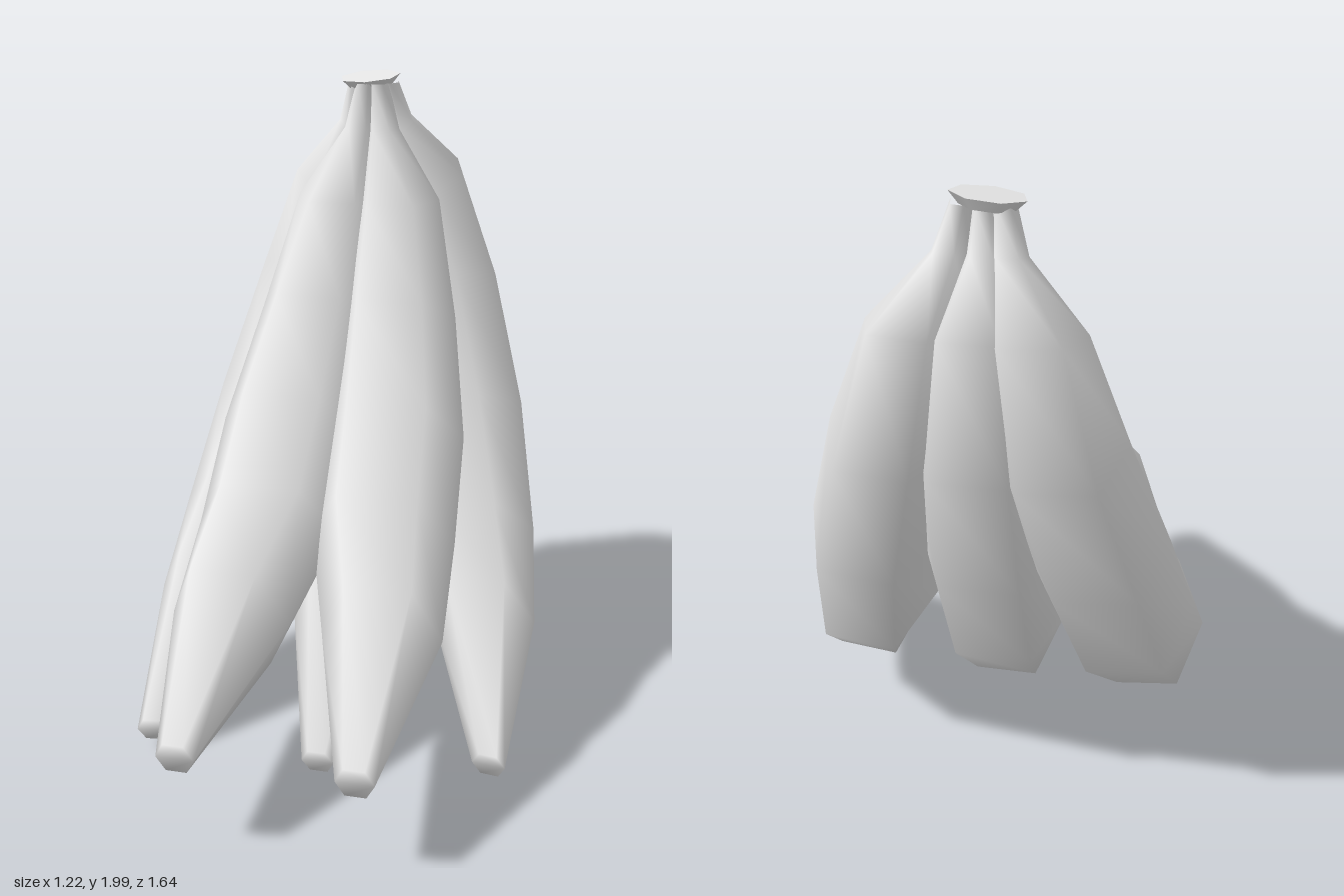
import * as THREE from 'three';

// Side profiles from stem to tip: [front z, front y, back z, back y, half width]
const BACK_PROFILE = [
  [-0.53, 1.97, -0.61, 1.97, 0.03],
  [-0.55, 1.83, -0.65, 1.86, 0.05],
  [-0.51, 1.64, -0.79, 1.70, 0.14],
  [-0.45, 1.40, -0.81, 1.32, 0.185],
  [-0.30, 1.05, -0.675, 0.90, 0.205],
  [-0.13, 0.76, -0.44, 0.48, 0.205],
  [0.03, 0.54, -0.165, 0.20, 0.172],
  [0.36, 0.09, 0.33, 0.005, 0.05],
];
const FRONT_PROFILE = [
  [-0.50, 1.97, -0.57, 1.97, 0.03],
  [-0.49, 1.83, -0.58, 1.83, 0.05],
  [-0.37, 1.62, -0.62, 1.62, 0.135],
  [-0.20, 1.36, -0.49, 1.20, 0.185],
  [0.00, 1.10, -0.25, 0.83, 0.22],
  [0.20, 0.88, 0.00, 0.54, 0.22],
  [0.42, 0.70, 0.28, 0.335, 0.18],
  [0.82, 0.37, 0.80, 0.275, 0.055],
];

// Six-sided cross-section: u across, v from back to front
const SECTION = [[1, 0], [0.55, 1], [-0.55, 1], [-1, 0], [-0.55, -1], [0.55, -1]];
const SIDES = SECTION.length;

// Loft the section along a profile; xs = centre x of each ring, yaw turns the
// section about y, lift raises the tip
function bananaGeometry(profile, xs, yaw = 0, lift = 0) {
  const pos = [], index = [];
  const c = Math.cos(yaw), s = Math.sin(yaw);
  const last = profile.length - 1;
  profile.forEach(([fz, fy, bz, by, w], i) => {
    const up = i === last ? lift : i === last - 1 ? lift * 0.4 : 0;
    for (const [u, v] of SECTION) {
      const ox = u * w, oz = v * (fz - bz) / 2;
      pos.push(
        xs[i] + ox * c + oz * s,
        (fy + by) / 2 + v * (fy - by) / 2 + up,
        (fz + bz) / 2 + oz * c - ox * s,
      );
    }
  });
  for (let i = 0; i < last; i++) {
    for (let k = 0; k < SIDES; k++) {
      const a = i * SIDES + k, b = i * SIDES + (k + 1) % SIDES;
      index.push(a, b, a + SIDES, b, b + SIDES, a + SIDES);
    }
  }
  // Blunt, softly shaded tip
  const tip = last * SIDES;
  for (let k = 1; k < SIDES - 1; k++) index.push(tip, tip + k, tip + k + 1);

  const geo = new THREE.BufferGeometry();
  geo.setAttribute('position', new THREE.Float32BufferAttribute(pos, 3));
  geo.setIndex(index);
  geo.computeVertexNormals();
  return geo;
}

export function createModel() {
  const group = new THREE.Group();
  group.name = 'bananaBunch';
  const peel = new THREE.MeshStandardMaterial({ color: 0xe7e7e7 });
  peel.name = 'palePeel';

  const add = (name, geo) => {
    const mesh = new THREE.Mesh(geo, peel);
    mesh.name = name;
    group.add(mesh);
    return mesh;
  };
  const mirror = (xs, axis) => xs.map((x) => 2 * axis - x);

  // Front pair, pressed together along one seam
  const frontX = [-0.045, -0.06, -0.115, -0.15, -0.185, -0.2, -0.25, -0.275];
  add('frontRightBanana', bananaGeometry(FRONT_PROFILE, frontX));
  add('frontLeftBanana', bananaGeometry(FRONT_PROFILE, mirror(frontX, -0.022)));

  // Back row of three, the outer two turned outwards
  const outerX = [-0.075, -0.09, -0.155, -0.22, -0.31, -0.38, -0.44, -0.52];
  add('backRightBanana', bananaGeometry(BACK_PROFILE, outerX, 0.14, 0.035));
  const leftX = mirror(outerX, -0.025).map((x, i) => x + i * 0.009);
  add('backLeftBanana', bananaGeometry(BACK_PROFILE, leftX, -0.14, 0.07));
  const middleX = [-0.03, -0.035, -0.03, -0.025, -0.02, -0.01, 0, 0.01];
  add('backMiddleBanana', bananaGeometry(BACK_PROFILE, middleX));

  // Cut crown joining the stems
  const crown = add('crown', new THREE.CylinderGeometry(0.098, 0.07, 0.03, 7));
  crown.scale.z = 0.8;
  crown.position.set(-0.037, 1.972, -0.572);
  crown.rotation.set(0.13, 0, 0.08);

  return group;
}
